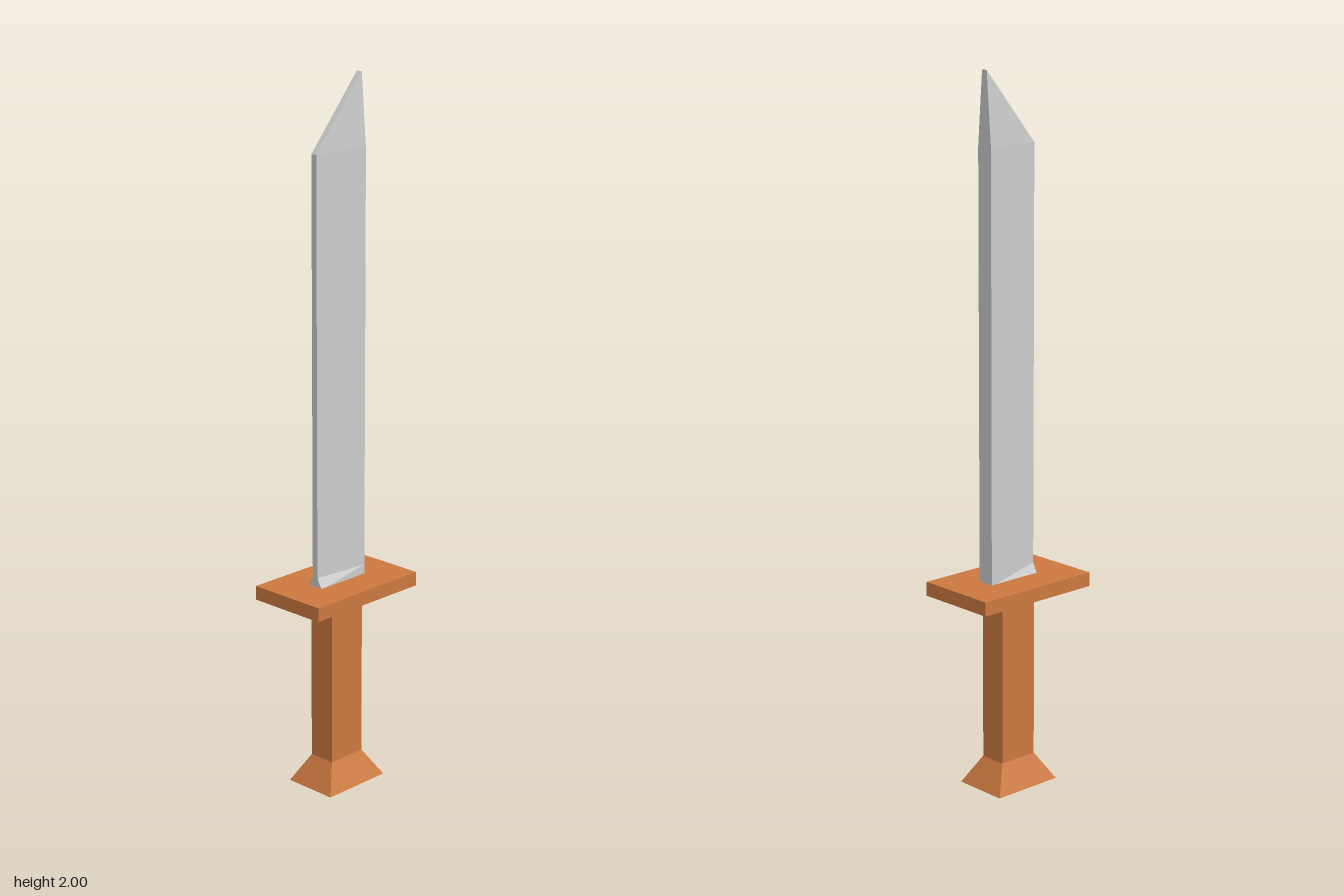
import * as THREE from 'three';

// Rectangular ring of four corners, counter-clockwise seen from above.
// Left/right half depths and left/right heights may differ.
function ring(xl, xr, dl, dr, yl, yr = yl) {
  return [[xl, yl, dl], [xr, yr, dr], [xr, yr, -dr], [xl, yl, -dl]];
}

// Solid skinned through four-cornered rings, bottom to top, with both ends capped.
function loft(name, color, rings) {
  const pos = [];
  const tri = (a, b, c) => {
    const t = new THREE.Triangle(...[a, b, c].map((p) => new THREE.Vector3(...p)));
    if (t.getArea() > 1e-9) pos.push(...a, ...b, ...c); // skip collapsed triangles
  };
  const quad = (a, b, c, d) => { tri(a, b, c); tri(a, c, d); };
  for (let i = 0; i < rings.length - 1; i++) {
    for (let k = 0; k < 4; k++) {
      const n = (k + 1) % 4;
      quad(rings[i][k], rings[i][n], rings[i + 1][n], rings[i + 1][k]);
    }
  }
  quad(...rings[rings.length - 1]);
  quad(...[...rings[0]].reverse());
  const geometry = new THREE.BufferGeometry();
  geometry.setAttribute('position', new THREE.Float32BufferAttribute(pos, 3));
  geometry.computeVertexNormals();
  const mesh = new THREE.Mesh(geometry, new THREE.MeshStandardMaterial({ color, flatShading: true }));
  mesh.name = name;
  return mesh;
}

export function createModel() {
  const group = new THREE.Group();
  group.name = 'shortSword';
  const wood = 0xcc7840;
  const steel = 0xcccccc;

  // Wedge blade: flared foot, thin cutting edge at -x, thick spine at +x, slanted tip
  group.add(loft('blade', steel, [
    ring(-0.085, 0.085, 0.025, 0.025, 0.6),
    ring(-0.085, 0.085, 0.009, 0.025, 0.63, 0.63),
    ring(-0.085, 0.085, 0.009, 0.025, 1.8),
    ring(-0.085, 0.085, 0.009, 0.009, 1.8, 2.0),
  ]));

  // Flat rectangular guard
  const guard = new THREE.Mesh(
    new THREE.BoxGeometry(0.39, 0.04, 0.242),
    new THREE.MeshStandardMaterial({ color: wood, flatShading: true })
  );
  guard.name = 'guard';
  guard.position.y = 0.583;
  group.add(guard);

  // Grip, widening sideways just under the guard
  group.add(loft('grip', wood, [
    ring(-0.06, 0.06, 0.04, 0.04, 0.078),
    ring(-0.06, 0.06, 0.04, 0.04, 0.535),
    ring(-0.085, 0.085, 0.04, 0.04, 0.565),
  ]));

  // Flared pommel
  group.add(loft('pommel', wood, [
    ring(-0.108, 0.108, 0.081, 0.081, 0),
    ring(-0.06, 0.06, 0.04, 0.04, 0.078),
  ]));

  return group;
}
